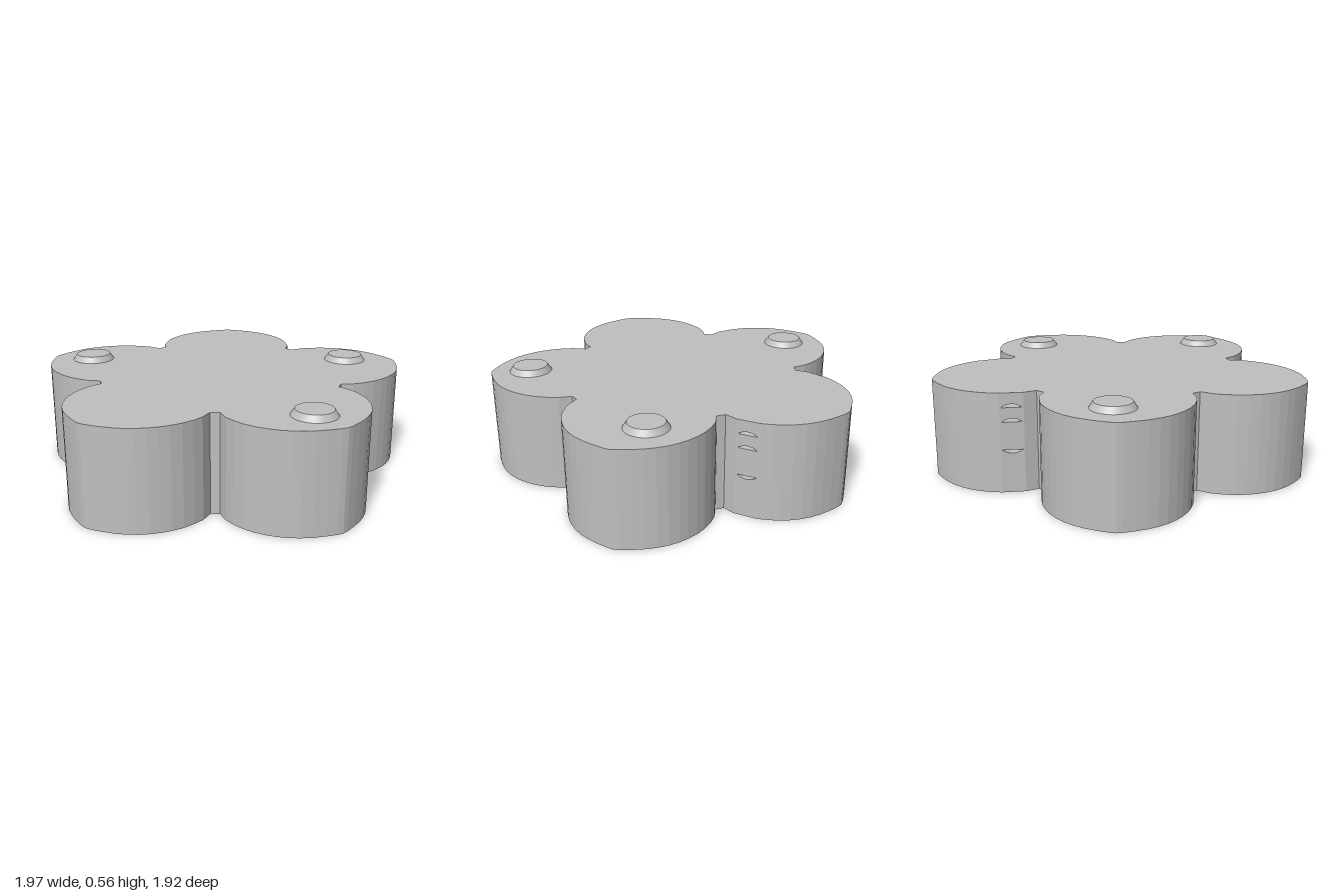
import * as THREE from 'three';

const HEIGHT = 0.525;
const CENTRE_Z = 0.055; // the flower's own centre
const CUT_IN = 0.615, CUT_OUT = 0.735; // slotted band of the back petal
const WIDE_IN = 0.381, WIDE_OUT = 0.363;

// Half a petal, tip to notch: [sideways, distance from flower centre]
const HALF = [
  [0, 1.028], [0.03, 1.023], [0.09, 1.004], [0.145, 0.982], [0.195, 0.955], [0.24, 0.922],
  [0.28, 0.882], [0.312, 0.84], [0.34, 0.792], [WIDE_OUT, CUT_OUT], [0.376, 0.675],
  [WIDE_IN, CUT_IN], [0.373, 0.575], [0.367, 0.545],
];

// A full petal outline, clockwise from its left notch
const PETAL = [
  ...HALF.slice(1).reverse().map(([u, r]) => [-u, r]),
  ...HALF,
];

function toPoint([u, r], angle = 0) {
  const p = new THREE.Vector2(u, r).rotateAround(new THREE.Vector2(), -angle);
  return p.setY(p.y - CENTRE_Z);
}

// Upright prism over an outline; outline y points to the back
function prism(points) {
  const geo = new THREE.ExtrudeGeometry(new THREE.Shape(points), { depth: HEIGHT, bevelEnabled: false });
  return geo.rotateX(-Math.PI / 2);
}

// Thin half-lens opening: straight edge at y, bulging by the given amount
function slot(y, bulge) {
  const path = new THREE.Path();
  const mid = 0.675 - CENTRE_Z;
  for (let i = 0; i <= 10; i++) {
    const t = -1 + i / 5;
    const x = mid + t * 0.052, h = y + bulge * (1 - t * t);
    if (i === 0) path.moveTo(x, h); else path.lineTo(x, h);
  }
  path.closePath();
  return path;
}

// Band of the back petal pierced from side to side by three slots
function slottedBand() {
  const a = CUT_IN - CENTRE_Z, b = CUT_OUT - CENTRE_Z;
  const shape = new THREE.Shape([[a, 0], [b, 0], [b, HEIGHT], [a, HEIGHT]].map(p => new THREE.Vector2(...p)));
  shape.holes.push(slot(0.449, 0.018), slot(0.374, 0.018), slot(0.228, -0.018));
  const geo = new THREE.ExtrudeGeometry(shape, { depth: 2, bevelEnabled: false });
  geo.translate(0, 0, -1).rotateY(Math.PI / 2);
  // Pull the ends in to the petal's width
  const pos = geo.attributes.position;
  for (let i = 0; i < pos.count; i++) {
    const t = (-pos.getZ(i) - a) / (b - a);
    pos.setX(i, pos.getX(i) * THREE.MathUtils.lerp(WIDE_IN, WIDE_OUT, t));
  }
  geo.computeVertexNormals();
  return geo;
}

export function createModel() {
  const group = new THREE.Group();
  const grey = new THREE.MeshStandardMaterial({ color: 0xc0c0c0 });
  grey.name = 'plain grey';

  const add = (name, geo, x = 0, y = 0, z = 0) => {
    const mesh = new THREE.Mesh(geo, grey);
    mesh.name = name;
    mesh.position.set(x, y, z);
    group.add(mesh);
  };

  // Flower body, with the back petal stopping at the slotted band
  const outline = [];
  for (let k = 0; k < 5; k++) {
    const pts = k === 0 ? PETAL.filter(p => p[1] <= CUT_IN) : PETAL;
    outline.push(...pts.map(p => toPoint(p, k * Math.PI * 2 / 5)));
  }
  add('flowerBody', prism(outline));
  add('backPetalBand', slottedBand());
  add('backPetalTip', prism(PETAL.filter(p => p[1] >= CUT_OUT).map(p => toPoint(p))));

  // Bevelled buttons on three petals
  const bevel = new THREE.CylinderGeometry(0.094, 0.115, 0.032, 40);
  [[-0.755, -0.21], [0.7, -0.26], [0.463, 0.725]].forEach(([x, z], i) =>
    add(`button${i + 1}`, bevel, x, HEIGHT + 0.016, z));

  return group;
}
